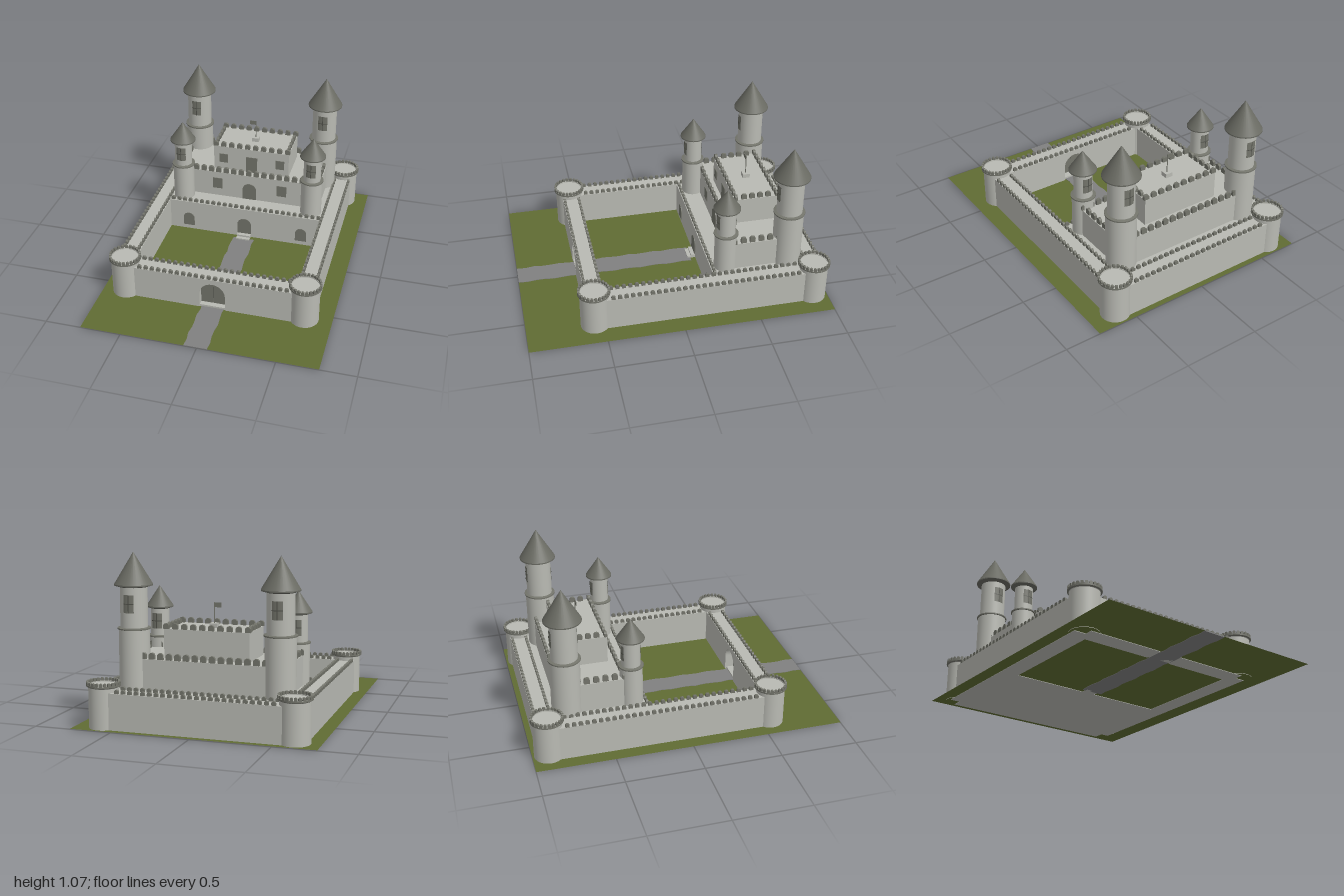
import * as THREE from 'three';
import { mergeGeometries } from 'three/addons/utils/BufferGeometryUtils.js';

export function createModel() {
  const castle = new THREE.Group();
  castle.name = 'castle';
  const mat = (name, color, side = THREE.FrontSide) =>
    Object.assign(new THREE.MeshStandardMaterial({ color, side }), { name });
  const stone = mat('pale stone', 0xb9bab3);
  const trim = mat('dark stone', 0x73746b);
  const roof = mat('roof slate', 0x6a6b63);
  const bars = mat('window bars', 0x50514a);
  const grass = mat('grass', 0x606c33, THREE.DoubleSide);
  const gravel = mat('path gravel', 0x808080);

  const CX = -0.013; // castle axis
  const add = (name, geo, material, x = 0, y = 0, z = 0) => {
    const m = new THREE.Mesh(geo, material);
    m.name = name;
    m.position.set(x, y, z);
    castle.add(m);
    return m;
  };
  // box given by its limits
  const block = (name, material, x0, x1, y0, y1, z0, z1) =>
    add(name, new THREE.BoxGeometry(x1 - x0, y1 - y0, z1 - z0), material,
      (x0 + x1) / 2, (y0 + y1) / 2, (z0 + z1) / 2);
  const lathe = (pts, seg = 32) => {
    // each band gets its own normals, so the rims stay crisp
    const bands = [];
    for (let i = 0; i < pts.length - 1; i++) {
      bands.push(new THREE.LatheGeometry(
        [pts[i], pts[i + 1]].map(p => new THREE.Vector2(...p)), seg));
    }
    return mergeGeometries(bands);
  };
  // outline with a round top, standing on y = 0
  const arch = (w, h, r = w / 2, Kind = THREE.Shape, x = 0, y = 0) => {
    const s = new Kind();
    s.moveTo(x - w / 2, y);
    s.lineTo(x + w / 2, y);
    s.lineTo(x + w / 2, y + h - r);
    s.absellipse(x, y + h - r, w / 2, r, 0, Math.PI, false);
    s.lineTo(x - w / 2, y);
    return s;
  };
  const extrude = (shape, depth, curveSegments = 14) =>
    new THREE.ExtrudeGeometry(shape, { depth, bevelEnabled: false, curveSegments });

  // ---- battlements
  const merlon = (w, h, d) => extrude(arch(w, h, w * 0.4), d, 5).translate(0, 0, -d / 2);
  const merlonRow = (out, x0, z0, x1, z1, y, w, h, d, pitch) => {
    const len = Math.hypot(x1 - x0, z1 - z0), n = Math.round(len / pitch);
    const turn = Math.atan2(-(z1 - z0), x1 - x0);
    for (let i = 0; i <= n; i++) {
      const t = i / n;
      out.push(merlon(w, h, d).rotateY(turn)
        .translate(x0 + (x1 - x0) * t, y, z0 + (z1 - z0) * t));
    }
  };
  const merlonRing = (out, x0, x1, z0, z1, y, w, h, d, pitch) => {
    merlonRow(out, x0, z0, x1, z0, y, w, h, d, pitch);
    merlonRow(out, x0, z1, x1, z1, y, w, h, d, pitch);
    merlonRow(out, x0, z0 + pitch, x0, z1 - pitch, y, w, h, d, pitch);
    merlonRow(out, x1, z0 + pitch, x1, z1 - pitch, y, w, h, d, pitch);
  };

  // ---- ground and path with slightly uneven edges
  add('ground', new THREE.PlaneGeometry(1.535, 2).rotateX(-Math.PI / 2), grass, 0, 0.003, 0);
  const path = new THREE.Shape();
  path.moveTo(-0.085, -1);
  for (let i = 0; i <= 20; i++) path.lineTo(0.066 + 0.005 * Math.sin(i * 1.9), -1 + i * 0.06);
  for (let i = 20; i >= 0; i--) path.lineTo(-0.085 + 0.005 * Math.sin(i * 2.3), -1 + i * 0.06);
  add('path', extrude(path, 0.006).rotateX(-Math.PI / 2), gravel);

  // ---- outer walls
  const H = 0.23;
  block('leftWall', stone, 0.525, 0.645, 0, H, -0.895, 0.557);
  block('rightWall', stone, -0.68, -0.56, 0, H, -0.895, 0.557);
  block('backWall', stone, -0.612, 0.587, 0, H, -0.965, -0.845);
  const front = new THREE.Shape();
  front.moveTo(-0.6, 0);
  front.lineTo(CX + 0.003 - 0.085, 0);
  front.lineTo(-0.095, 0.11);
  front.absellipse(-0.01, 0.11, 0.085, 0.085, Math.PI, 0, true);
  front.lineTo(0.075, 0);
  front.lineTo(0.575, 0);
  front.lineTo(0.575, H);
  front.lineTo(-0.6, H);
  add('frontWall', extrude(front, 0.12), stone, 0, 0, 0.49);
  block('gateThreshold', stone, -0.095, 0.075, 0, 0.018, 0.5, 0.605);
  for (const s of [-1, 1]) {
    const leaf = new THREE.Shape();
    leaf.moveTo(s * 0.002, 0);
    leaf.lineTo(s * 0.085, 0);
    leaf.lineTo(s * 0.085, 0.092);
    leaf.absarc(0, 0.092, 0.085, s > 0 ? 0 : Math.PI, Math.PI / 2, s < 0);
    leaf.lineTo(s * 0.002, 0);
    add('gateLeaf', extrude(leaf, 0.02), trim, -0.01, 0.018, 0.55);
  }
  block('gateSeam', bars, -0.012, -0.008, 0.018, 0.194, 0.553, 0.567);

  const wallMerlons = [];
  const small = [H, 0.026, 0.024, 0.016, 0.042];
  for (const z of [0.5, 0.6, -0.955, -0.86]) merlonRow(wallMerlons, -0.5, z, 0.475, z, ...small);
  for (const x of [-0.672, -0.572, 0.537, 0.637]) merlonRow(wallMerlons, x, -0.78, x, 0.44, ...small);
  merlonRow(wallMerlons, -0.54, -0.247, 0.515, -0.247, ...small);
  add('wallMerlons', mergeGeometries(wallMerlons), trim);

  // ---- corner towers
  for (const x of [-0.612, 0.587]) for (const z of [-0.895, 0.557]) {
    add('cornerTower', lathe([[0.093, 0], [0.093, 0.255], [0.103, 0.262], [0.103, 0.272],
      [0.088, 0.272], [0.088, 0.266], [0, 0.266]], 40), stone, x, 0, z);
    add('cornerTowerRim', lathe([[0.094, 0.256], [0.105, 0.262], [0.105, 0.272], [0.09, 0.272]], 40), trim, x, 0, z);
    const ring = [];
    for (let i = 0; i < 24; i++) {
      ring.push(merlon(0.019, 0.022, 0.014).translate(0, 0.27, 0.097).rotateY(i * Math.PI / 12));
    }
    add('cornerTowerMerlons', mergeGeometries(ring), trim, x, 0, z);
  }

  // ---- keep in three tiers
  block('terrace', stone, -0.565, 0.53, 0, H - 0.002, -0.85, -0.235);
  block('lowerKeep', stone, -0.528, 0.488, H - 0.01, 0.42, -0.805, -0.378);
  block('upperKeep', stone, -0.288, 0.255, 0.41, 0.6, -0.732, -0.437);
  const keepMerlons = [];
  merlonRing(keepMerlons, -0.515, 0.475, -0.795, -0.387, 0.42, 0.036, 0.04, 0.018, 0.056);
  merlonRing(keepMerlons, -0.276, 0.243, -0.722, -0.447, 0.6, 0.036, 0.034, 0.018, 0.056);
  add('keepMerlons', mergeGeometries(keepMerlons), trim);

  // doors and windows as thin plates
  const plate = (name, x, y, w, h, z, r) =>
    add(name, r ? extrude(arch(w, h, r), 0.007) : new THREE.BoxGeometry(w, h, 0.007).translate(0, h / 2, 0.0035),
      trim, x, y, z - 0.002);
  plate('terraceDoor', CX, 0.03, 0.1, 0.12, -0.235, 0.05);
  block('doorStep', stone, -0.06, 0.035, 0, 0.028, -0.235, -0.205);
  block('doorStepLow', stone, -0.06, 0.035, 0, 0.015, -0.205, -0.18);
  plate('lowerKeepDoor', CX, H, 0.1, 0.125, -0.378, 0.05);
  plate('upperKeepDoor', CX, 0.42, 0.082, 0.12, -0.437);
  for (const s of [-1, 1]) {
    plate('terraceArch', CX + s * 0.41, 0.035, 0.08, 0.1, -0.235, 0.04);
    plate('lowerKeepWindow', CX + s * 0.234, 0.29, 0.07, 0.082, -0.378);
    plate('upperKeepWindow', CX + s * 0.205, 0.475, 0.062, 0.067, -0.437);
  }

  // ---- round keep towers with pointed roofs
  const keepTower = (x, z, r0, r1, yRing, yEave, rRoof, yTop, winY, winH) => {
    add('keepTower', lathe([[r0, H - 0.02], [r0, yRing], [r1, yRing + 0.006], [r1, yEave + 0.005]]), stone, x, 0, z);
    add('keepTowerRing', lathe([[r0, yRing - 0.006], [r0 + 0.007, yRing - 0.004],
      [r0 + 0.007, yRing + 0.004], [r1, yRing + 0.008]]), trim, x, 0, z);
    add('keepTowerRoof', lathe([[r1 - 0.002, yEave - 0.008], [rRoof, yEave + 0.002],
      [rRoof, yEave + 0.01], [0, yTop]]), roof, x, 0, z);
    for (const face of [0, Math.PI]) {
      const curved = (name, m, w, h, y, lift) => {
        const a = 2 * Math.asin(w / 2 / r1);
        add(name, new THREE.CylinderGeometry(r1 + lift, r1 + lift, h, 8, 1, true, face - a / 2, a), m, x, y, z);
      };
      const mid = winY + winH / 2;
      curved('towerWindow', trim, 0.064, winH, mid, 0.002);
      curved('windowUpright', bars, 0.005, winH, mid, 0.004);
      curved('windowCrossbar', bars, 0.064, 0.005, mid, 0.004);
    }
  };
  for (const x of [-0.483, 0.443]) {
    keepTower(x, -0.332, 0.073, 0.06, 0.49, 0.675, 0.088, 0.815, 0.54, 0.1);
    keepTower(x, -0.748, 0.095, 0.084, 0.6, 0.86, 0.118, 1.065, 0.7, 0.11);
  }

  // ---- flag on the keep roof
  block('flagBase', stone, -0.042, 0.006, 0.6, 0.628, -0.61, -0.562);
  add('flagPole', new THREE.CylinderGeometry(0.003, 0.003, 0.13, 8), trim, -0.018, 0.69, -0.586);
  block('flag', trim, -0.062, -0.018, 0.725, 0.754, -0.588, -0.584);

  return castle;
}
